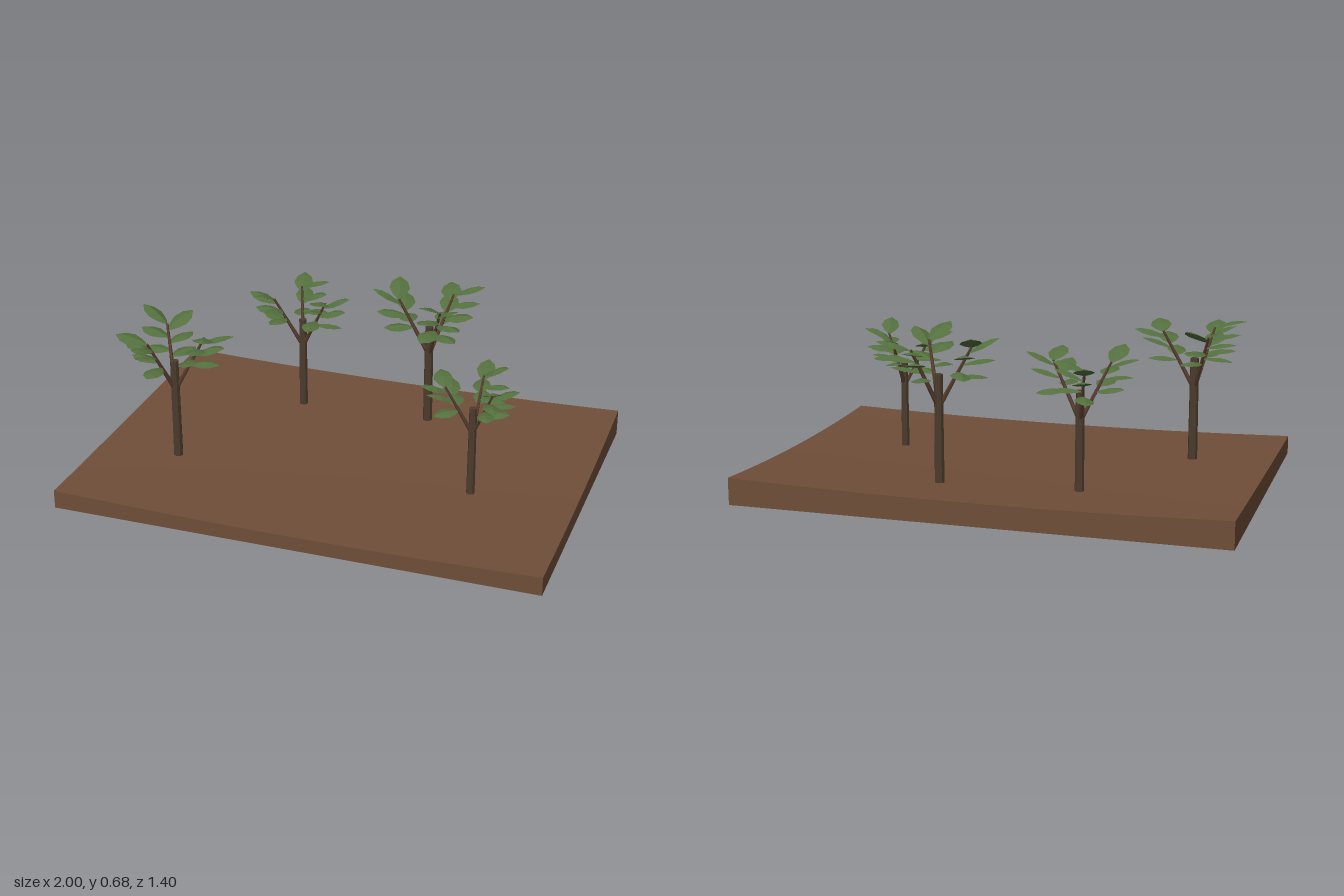
import * as THREE from 'three';

const material = (name, color, extra = {}) => {
  const m = new THREE.MeshStandardMaterial({ color, ...extra });
  m.name = name;
  return m;
};
const rad = THREE.MathUtils.degToRad;

// Gently rolling terrain: rises to the back, dips along the middle
function groundHeight(x, z) {
  const t = (0.7 - z) / 1.4;
  const leftRise = 0.008 * (1 - x) * Math.sin(Math.PI * t);
  return 0.077 - 0.046 * t + 0.08 * t * t - 0.018 * (1 - x * x) + leftRise;
}

function makeGround(mat) {
  const geo = new THREE.BoxGeometry(2, 1, 1.4, 16, 1, 12);
  const p = geo.attributes.position;
  for (let i = 0; i < p.count; i++) {
    p.setY(i, p.getY(i) > 0 ? groundHeight(p.getX(i), p.getZ(i)) : 0);
  }
  geo.computeVertexNormals();
  const ground = new THREE.Mesh(geo, mat);
  ground.name = 'ground';
  return ground;
}

// Folded leaf of unit length along +x, with a raised midrib and drooping tip
function makeLeafGeometry() {
  const stations = [[0, 0, 0.02], [0.22, 0.05, 0.2], [0.5, 0.08, 0.32], [0.78, 0.05, 0.25], [1, -0.03, 0.02]];
  const pos = [], index = [];
  stations.forEach(([x, y, w], i) => {
    for (const s of [-1, 0, 1]) pos.push(x, y - Math.abs(s) * w * 0.3, s * w);
    if (i === 0) return;
    for (let k = 0; k < 2; k++) {
      const a = (i - 1) * 3 + k, b = a + 3;
      index.push(a, a + 1, b, a + 1, b + 1, b);
    }
  });
  const geo = new THREE.BufferGeometry();
  geo.setAttribute('position', new THREE.Float32BufferAttribute(pos, 3));
  geo.setIndex(index);
  geo.computeVertexNormals();
  return geo;
}

// Each tree: position, trunk top, scale, and per branch
// [branch heading, first leaf heading, second leaf heading] in degrees
const TREES = [
  { x: -0.665, z: 0.235, top: 0.50, s: 1.0, branches: [[-9, -8, 75], [-125, -62, 188], [118, 95, 182]] },
  { x: -0.34, z: -0.385, top: 0.48, s: 0.95, branches: [[-112, -105, 0], [150, 182, 100], [18, -5, 95]] },
  { x: 0.222, z: -0.415, top: 0.515, s: 1.02, branches: [[173, 165, 250], [-57, -100, -12], [55, 35, 110]] },
  { x: 0.57, z: 0.14, top: 0.44, s: 0.87, branches: [[-85, -95, 5], [155, 145, 250], [35, -8, 70]] },
];

export function createModel() {
  const soil = material('soil brown', 0x6f4e39);
  const bark = material('dark bark', 0x4c3c2d, { flatShading: true });
  const twig = material('branch brown', 0x563d2e, { flatShading: true });
  const green = material('leaf green', 0x54703e, { flatShading: true, side: THREE.DoubleSide });

  const model = new THREE.Group();
  model.name = 'groveOnGround';
  model.add(makeGround(soil));
  const leafGeo = makeLeafGeometry();
  const up = new THREE.Vector3(0, 1, 0);

  TREES.forEach(({ x, z, top, s, branches }, n) => {
    const tree = new THREE.Group();
    tree.name = `tree${n + 1}`;
    tree.position.set(x, 0, z);

    // Trunk, sunk slightly into the ground
    const base = groundHeight(x, z) - 0.01;
    const trunk = new THREE.Mesh(new THREE.CylinderGeometry(0.018 * s, 0.02 * s, top - base, 8), bark);
    trunk.position.y = (top + base) / 2;
    trunk.name = 'trunk';
    tree.add(trunk);

    const fork = new THREE.Vector3(0, top - 0.13 * s, 0);
    branches.forEach(([heading, ...leafHeadings], b) => {
      const a = rad(heading);
      const span = new THREE.Vector3(Math.cos(a) * 0.13, 0.24, Math.sin(a) * 0.13).multiplyScalar(s);
      const branch = new THREE.Mesh(new THREE.CylinderGeometry(0.005 * s, 0.01 * s, span.length(), 6), twig);
      branch.position.copy(fork).addScaledVector(span, 0.5);
      branch.quaternion.setFromUnitVectors(up, span.clone().normalize());
      branch.name = 'branch';
      tree.add(branch);

      // Leaves in three alternating pairs, steeper towards the tip
      for (let pair = 0; pair < 3; pair++) {
        leafHeadings.forEach((leafHeading, side) => {
          const leaf = new THREE.Mesh(leafGeo, green);
          leaf.name = 'leaf';
          leaf.position.copy(fork).addScaledVector(span, 0.5 + pair * 0.2 + side * 0.09);
          const sway = 7 * Math.sin(n * 5 + b * 3 + pair * 2.1 + side);
          leaf.rotation.set(rad(sway), -rad(leafHeading + sway), rad(4 + pair * 9 + sway), 'YZX');
          leaf.scale.setScalar((0.125 + 0.005 * pair) * s);
          tree.add(leaf);
        });
      }
    });
    model.add(tree);
  });
  return model;
}
